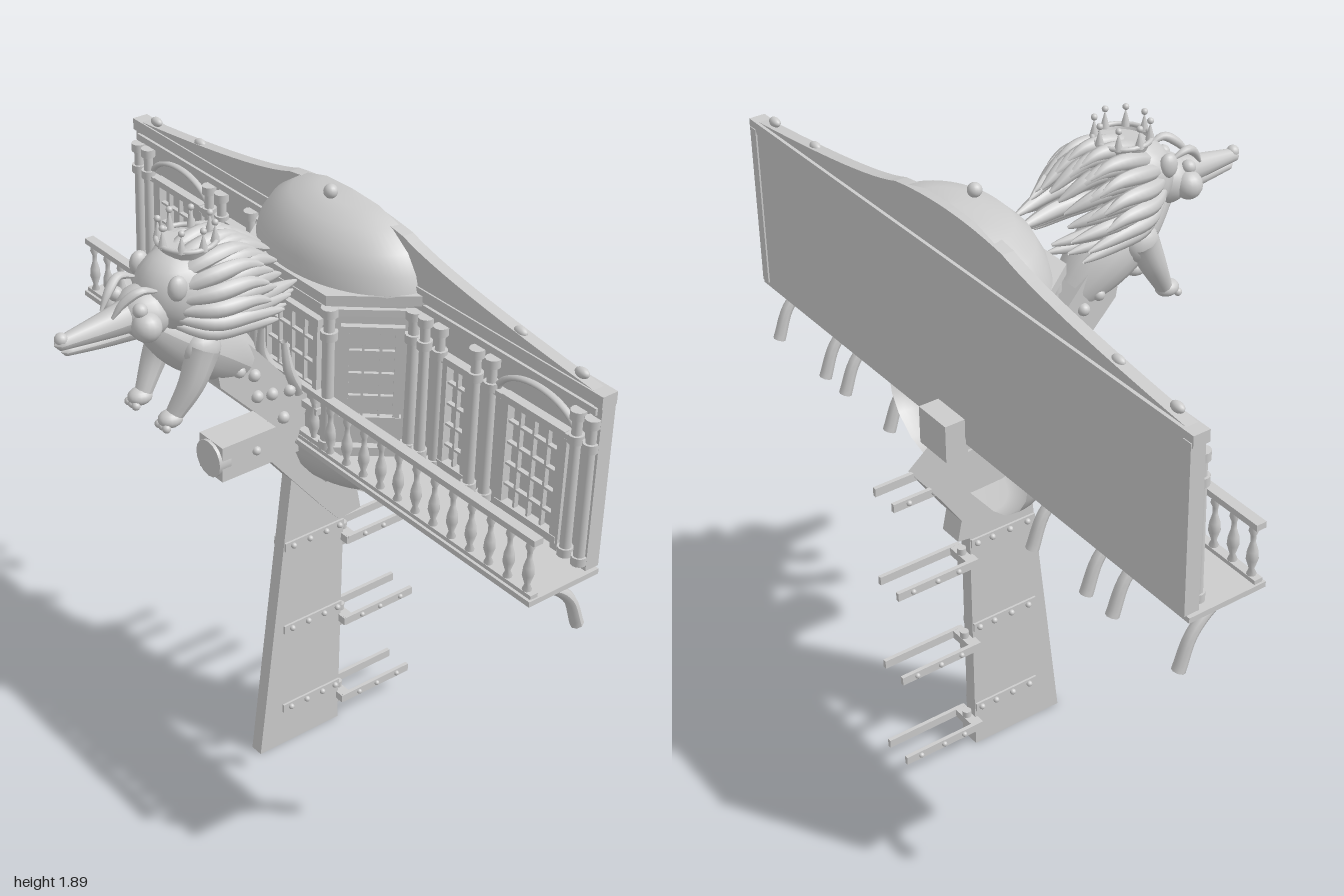
import * as THREE from 'three';

const mat = new THREE.MeshStandardMaterial({ color: 0xcccccc });
const thin = new THREE.MeshStandardMaterial({ color: 0xcccccc, side: THREE.DoubleSide });
const V = (x, y, z) => new THREE.Vector3(x, y, z);

function add(parent, name, geo, x = 0, y = 0, z = 0, m = mat) {
  const mesh = new THREE.Mesh(geo, m);
  mesh.name = name;
  mesh.position.set(x, y, z);
  parent.add(mesh);
  return mesh;
}
const box = (p, name, w, h, d, x, y, z) => add(p, name, new THREE.BoxGeometry(w, h, d), x, y, z);
const ball = (p, name, r, x, y, z, sx = 1, sy = 1, sz = 1) =>
  add(p, name, new THREE.SphereGeometry(r, 16, 12).scale(sx, sy, sz), x, y, z);
const group = (parent, name) => {
  const g = new THREE.Group();
  g.name = name;
  parent.add(g);
  return g;
};

// Tube along a curve whose radius follows a rule of t
function taper(p, name, pts, radius, seg = 16, sides = 10) {
  const curve = new THREE.CatmullRomCurve3(pts);
  const geo = new THREE.TubeGeometry(curve, seg, 1, sides);
  const pos = geo.attributes.position, v = V(0, 0, 0);
  for (let i = 0; i < pos.count; i++) {
    const t = Math.floor(i / (sides + 1)) / seg, c = curve.getPointAt(t);
    v.fromBufferAttribute(pos, i).sub(c).multiplyScalar(radius(t)).add(c);
    pos.setXYZ(i, v.x, v.y, v.z);
  }
  geo.computeVertexNormals();
  return add(p, name, geo, 0, 0, 0, thin);
}

// Slab from a side outline of [z, y] points, centred on x
function sideSlab(p, name, pts, width, x = 0) {
  const shape = new THREE.Shape(pts.map(a => new THREE.Vector2(...a)));
  const geo = new THREE.ExtrudeGeometry(shape, { depth: width, bevelEnabled: false });
  return add(p, name, geo.translate(0, 0, -width / 2).rotateY(-Math.PI / 2), x);
}

// Slab from a plan outline of [x, z] points
function planSlab(p, name, pts, y, h) {
  const shape = new THREE.Shape(pts.map(([x, z]) => new THREE.Vector2(x, -z)));
  return add(p, name, new THREE.ExtrudeGeometry(shape, { depth: h, bevelEnabled: false }).rotateX(-Math.PI / 2), 0, y);
}

const lathe = (pts, seg = 12, ...arc) =>
  new THREE.LatheGeometry(pts.map(a => new THREE.Vector2(...a)), seg, ...arc);

function column(p, x, z, r = 0.016) {
  const g = group(p, 'column');
  add(g, 'shaft', new THREE.CylinderGeometry(r * 0.85, r, 0.42, 12), x, 1.37, z);
  for (const y of [1.16, 1.5, 1.57]) add(g, 'collar', new THREE.CylinderGeometry(r * 1.35, r * 1.35, 0.025, 12), x, y, z);
}

// Barred window standing in its own xy plane
function barredWindow(p, w, h, cols, rows, x, y, z, turn = 0) {
  const g = group(p, 'window');
  g.position.set(x, y, z);
  g.rotation.y = turn;
  for (const s of [-1, 1]) {
    box(g, 'windowFrame', 0.018, h, 0.025, s * w / 2, 0, 0);
    box(g, 'windowFrame', w + 0.03, 0.02, 0.03, 0, s * h / 2, 0);
  }
  for (let i = 1; i < cols; i++) box(g, 'windowBar', 0.007, h, 0.014, (i / cols - 0.5) * w, 0, 0);
  for (let j = 1; j < rows; j++) box(g, 'windowBar', w, 0.007, 0.014, 0, (j / rows - 0.5) * h, 0);
}

function buildGallery(root) {
  const g = group(root, 'gallery');
  box(g, 'backWall', 1.96, 0.5, 0.025, 0, 1.38, -0.36);
  box(g, 'deck', 2, 0.016, 0.24, 0, 1.12, -0.25);
  box(g, 'cornice', 1.99, 0.035, 0.05, 0, 1.635, -0.35);
  box(g, 'lowerCornice', 1.95, 0.02, 0.04, 0, 1.6, -0.345);
  box(g, 'handrail', 1.99, 0.018, 0.03, 0, 1.3, -0.15);
  box(g, 'footRail', 1.99, 0.012, 0.025, 0, 1.135, -0.15);

  // Sloping pediment
  const roof = new THREE.Shape();
  roof.moveTo(-0.98, 1.65);
  roof.quadraticCurveTo(-0.4, 1.71, -0.24, 1.77);
  roof.quadraticCurveTo(0, 1.81, 0.24, 1.77);
  roof.quadraticCurveTo(0.4, 1.71, 0.98, 1.65);
  add(g, 'pediment', new THREE.ExtrudeGeometry(roof, { depth: 0.035, bevelEnabled: false }), 0, 0, -0.365);

  const balusterShape = lathe([[0.008, 0], [0.013, 0.015], [0.007, 0.03], [0.016, 0.06], [0.014, 0.085],
    [0.007, 0.11], [0.007, 0.13], [0.013, 0.145], [0.008, 0.17]], 10);
  for (const s of [-1, 1]) {
    for (let i = 0; i < 13; i++) add(g, 'baluster', balusterShape, s * (0.11 + i * 0.0715), 1.128, -0.15);
    for (const x of [0.35, 0.41, 0.55, 0.61, 0.92, 0.97]) column(g, s * x, -0.325);
    box(g, 'endPost', 0.03, 0.5, 0.045, s * 0.975, 1.38, -0.355);

    // Arched window and narrow window
    barredWindow(g, 0.2, 0.32, 4, 5, s * 0.77, 1.33, -0.335);
    barredWindow(g, 0.09, 0.32, 2, 5, s * 0.48, 1.33, -0.335);
    const arch = add(g, 'archMoulding', new THREE.TorusGeometry(0.15, 0.011, 8, 24, Math.PI), s * 0.77, 1.48, -0.335);
    arch.scale.y = 0.6;
    box(g, 'impost', 0.3, 0.015, 0.03, s * 0.77, 1.49, -0.335);
    for (const x of [0.66, 0.88]) box(g, 'pilaster', 0.025, 0.34, 0.025, s * x, 1.31, -0.335);

    for (const x of [0.38, 0.68, 0.9]) ball(g, 'roofKnob', 0.014, s * x, 1.67 + (0.9 - x) * 0.06, -0.345, 1.6, 1, 1);
    // Curved brackets under the deck
    for (const x of [0.345, 0.58, 0.69, 0.955])
      taper(g, 'deckBracket', [V(s * x, 1.11, -0.16), V(s * x, 1.09, -0.25), V(s * x, 1.03, -0.32), V(s * x, 0.93, -0.36)],
        t => 0.013 + 0.006 * t, 14, 8);
  }
}

function buildBay(root) {
  const g = group(root, 'centralBay');
  const outline = (a, b, f) => [[-a, -0.35], [a, -0.35], [a, -0.335], [b, f], [-b, f], [-a, -0.335]];
  planSlab(g, 'bayWall', outline(0.3, 0.155, -0.165), 1.12, 0.5);
  planSlab(g, 'bayPlinth', outline(0.325, 0.17, -0.14), 1.12, 0.035);
  planSlab(g, 'bayFrieze', outline(0.315, 0.165, -0.15), 1.56, 0.02);
  planSlab(g, 'bayCornice', outline(0.34, 0.18, -0.125), 1.605, 0.03);
  barredWindow(g, 0.22, 0.28, 4, 4, 0, 1.38, -0.16);
  for (const s of [-1, 1]) {
    barredWindow(g, 0.14, 0.28, 3, 4, s * 0.23, 1.38, -0.247, s * 0.865);
    column(g, s * 0.16, -0.155, 0.018);
    column(g, s * 0.305, -0.325, 0.018);
  }
  // Half dome above and half bowl below
  const dome = lathe([[0.315, 1.63], [0.3, 1.68], [0.265, 1.73], [0.2, 1.775], [0.11, 1.8], [0, 1.805]], 32, -Math.PI / 2, Math.PI);
  add(g, 'dome', dome.scale(1, 1, 0.7), 0, 0, -0.355, thin);
  const bowl = lathe([[0, 0.945], [0.17, 0.95], [0.23, 0.97], [0.29, 1.02], [0.32, 1.07], [0.33, 1.12]], 32, -Math.PI / 2, Math.PI);
  add(g, 'underBowl', bowl.scale(1, 1, 0.68), 0, 0, -0.36, thin);
  ball(g, 'domeFinial', 0.02, 0, 1.82, -0.28);
}

function buildRudder(root) {
  const g = group(root, 'rudder');
  sideSlab(g, 'rudderBlade', [[-0.04, 0], [-0.34, 0], [-0.34, 0.85], [-0.28, 1.04], [-0.15, 1.02]], 0.042);
  sideSlab(g, 'rudderStock', [[-0.05, 1.08], [-0.24, 0.85], [-0.31, 0.77], [-0.39, 0.78], [-0.36, 0.92], [-0.2, 1.1]], 0.075);
  sideSlab(g, 'rudderHead', [[-0.24, 0.94], [-0.38, 0.85], [-0.48, 1], [-0.38, 1.08], [-0.26, 1.1]], 0.12);
  box(g, 'tillerBeam', 0.105, 0.11, 0.5, 0, 1.135, -0.13);
  add(g, 'beamEnd', new THREE.CylinderGeometry(0.055, 0.055, 0.04, 16).rotateX(Math.PI / 2), 0, 1.135, 0.11);
  box(g, 'tillerBlock', 0.125, 0.115, 0.07, 0, 1.135, -0.4);
  add(g, 'beamPin', new THREE.CylinderGeometry(0.008, 0.008, 0.06, 8), 0, 1.075, 0.05);
  for (const s of [-1, 1]) ball(g, 'beamBolt', 0.013, s * 0.054, 1.14, 0.005);

  // Hinges: straps on the blade and paired arms behind it
  for (const y of [0.14, 0.44, 0.74]) {
    box(g, 'bladeStrap', 0.055, 0.028, 0.215, 0, y, -0.23);
    for (const s of [-1, 1])
      for (const z of [-0.15, -0.21, -0.27, -0.32]) ball(g, 'strapRivet', 0.009, s * 0.03, y, z);
  }
  for (const y of [0.09, 0.39, 0.69, 0.99]) {
    add(g, 'hingePin', new THREE.CylinderGeometry(0.013, 0.013, 0.075, 12), 0, y - 0.005, -0.355);
    box(g, 'hingeBridge', 0.1, 0.025, 0.035, 0, y, -0.35);
    for (const s of [-1, 1]) {
      box(g, 'hingeArm', 0.012, 0.026, 0.26, s * 0.045, y, -0.468);
      for (const z of [-0.4, -0.47, -0.55]) ball(g, 'armRivet', 0.008, s * 0.052, y, z);
    }
  }
}

function buildFigurehead(root) {
  const g = group(root, 'figurehead');
  sideSlab(g, 'supportPost', [[0.13, 1.39], [-0.13, 1.12], [-0.17, 1.24], [-0.13, 1.3], [0.07, 1.53], [0.15, 1.5]], 0.12);
  for (const s of [-1, 1]) {
    for (const [z, y] of [[0.07, 1.42], [0.02, 1.39], [0.01, 1.32], [-0.04, 1.31], [-0.08, 1.22], [-0.1, 1.3]])
      ball(g, 'postStud', 0.018, s * 0.062, y, z);
    taper(g, 'postScroll', [V(s * 0.05, 1.28, -0.14), V(s * 0.06, 1.36, -0.1), V(s * 0.05, 1.45, -0.09)], t => 0.022 - 0.012 * t);
  }
  // Body, head and muzzle
  taper(g, 'body', [V(0, 1.42, 0.03), V(0, 1.5, 0.13), V(0, 1.58, 0.25), V(0, 1.66, 0.36)],
    t => 0.045 + 0.05 * Math.sin(Math.PI * Math.min(1, t + 0.12)), 20, 16);
  ball(g, 'skull', 0.105, 0, 1.7, 0.23, 1, 1.08, 1.05);
  ball(g, 'face', 0.075, 0, 1.665, 0.33, 1.05, 0.95, 1);
  taper(g, 'upperMuzzle', [V(0, 1.67, 0.34), V(0, 1.662, 0.45), V(0, 1.657, 0.56), V(0, 1.655, 0.6)],
    t => t > 0.99 ? 0 : 0.05 - 0.034 * t, 18, 14);
  taper(g, 'lowerJaw', [V(0, 1.625, 0.34), V(0, 1.625, 0.46), V(0, 1.63, 0.58)], t => t > 0.99 ? 0 : 0.032 - 0.02 * t, 18, 12);
  ball(g, 'nose', 0.018, 0, 1.667, 0.578);
  for (const s of [-1, 1]) {
    ball(g, 'cheek', 0.04, s * 0.068, 1.66, 0.365);
    ball(g, 'eye', 0.02, s * 0.055, 1.705, 0.375);
    taper(g, 'brow', [V(s * 0.05, 1.74, 0.32), V(s * 0.05, 1.755, 0.37), V(s * 0.035, 1.73, 0.41), V(s * 0.025, 1.69, 0.44)],
      t => 0.004 + 0.009 * Math.sin(Math.PI * t));
    ball(g, 'ear', 0.035, s * 0.085, 1.75, 0.28, 0.6, 1, 0.8);
    // Foreleg with paw and toes
    ball(g, 'shoulder', 0.055, s * 0.075, 1.54, 0.2, 0.75, 1, 1);
    taper(g, 'foreleg', [V(s * 0.08, 1.55, 0.2), V(s * 0.085, 1.46, 0.24), V(s * 0.07, 1.37, 0.29)], t => 0.048 - 0.024 * t);
    ball(g, 'paw', 0.03, s * 0.07, 1.365, 0.3, 1, 0.8, 1.2);
    for (const d of [-1, 0, 1]) ball(g, 'toe', 0.012, s * 0.07 + d * 0.017, 1.35, 0.325);
  }

  // Three layers of swept-back mane locks
  for (let layer = 0; layer < 3; layer++) {
    const n = 18 - layer * 2;
    for (let i = 0; i < n; i++) {
      const a = (i + layer / 3) / n * Math.PI * 2, c = Math.cos(a), s = Math.sin(a);
      const at = (r, z, dy = 0) => V(c * r, 1.68 + s * r * 0.95 + dy, z);
      if (s < -0.75) continue;
      const back = 0.06 * layer + (s < 0 ? 0.05 : 0);
      taper(g, 'maneLock', [at(0.08, 0.27 - layer * 0.035), at(0.13 - layer * 0.012, 0.19 - layer * 0.03),
        at(0.145 - layer * 0.015, 0.09 - layer * 0.02), at(0.145 - layer * 0.03, 0.03 - back + layer * 0.02, -0.02)],
        t => 0.004 + 0.02 * Math.pow(Math.sin(Math.PI * Math.min(1, 0.1 + t * 0.9)), 0.8), 14, 8);
    }
  }

  // Crown
  const crown = group(g, 'crown');
  add(crown, 'crownBand', new THREE.CylinderGeometry(0.08, 0.068, 0.03, 24, 1, true), 0, 1.815, 0.19, thin);
  add(crown, 'crownRim', new THREE.TorusGeometry(0.078, 0.007, 8, 24).rotateX(Math.PI / 2), 0, 1.828, 0.19);
  add(crown, 'crownCap', new THREE.CylinderGeometry(0.07, 0.07, 0.01, 24), 0, 1.81, 0.19);
  for (let i = 0; i < 8; i++) {
    const a = i / 8 * Math.PI * 2, x = 0.074 * Math.sin(a), z = 0.19 + 0.074 * Math.cos(a);
    add(crown, 'crownPoint', new THREE.ConeGeometry(0.013, 0.05, 8), x, 1.85, z);
    ball(crown, 'crownBead', 0.009, x, 1.879, z);
  }
}

export function createModel() {
  const root = new THREE.Group();
  root.name = 'sternGallery';
  buildGallery(root);
  buildBay(root);
  buildRudder(root);
  buildFigurehead(root);
  return root;
}
